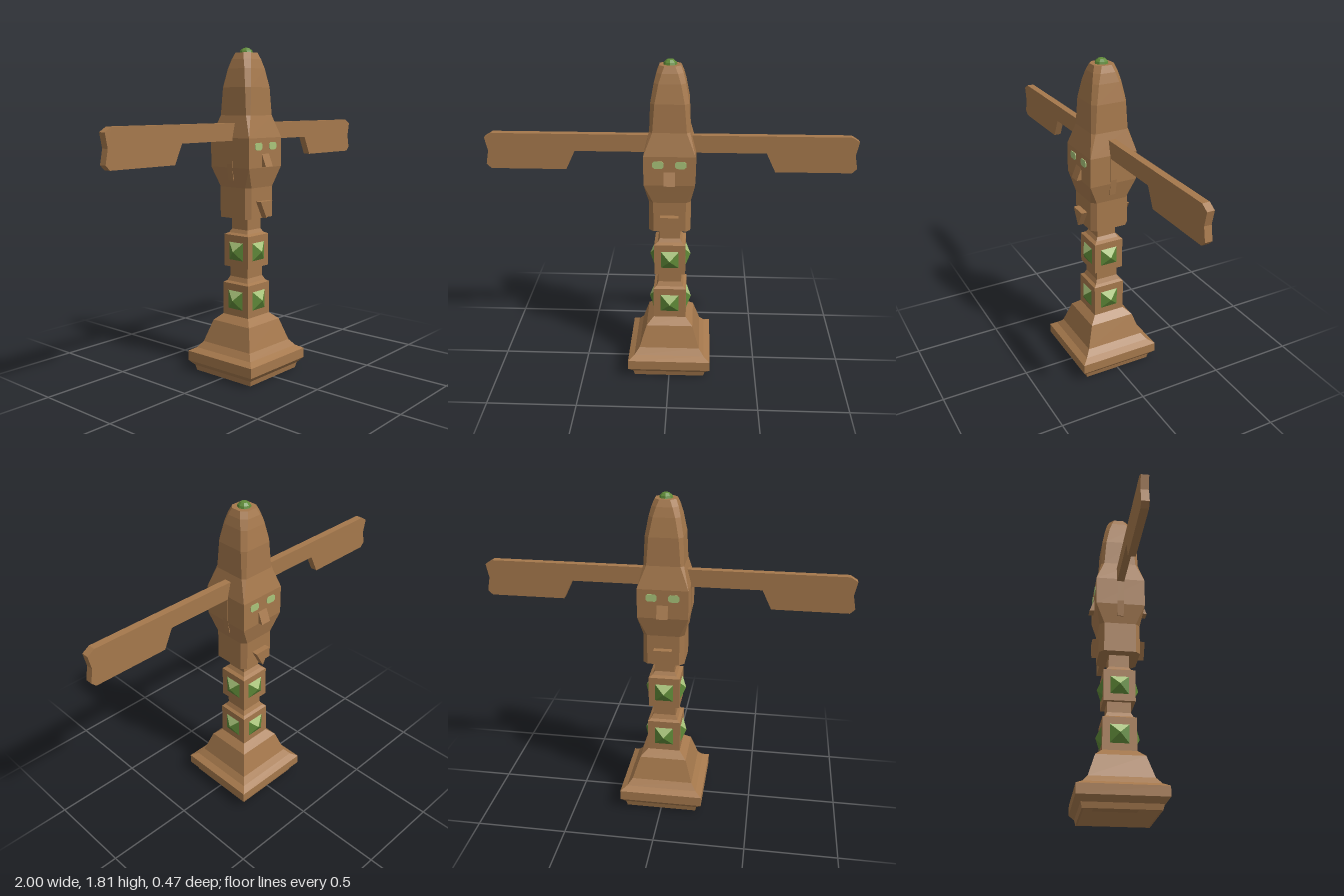
import * as THREE from 'three';

const wood = new THREE.MeshStandardMaterial({ color: 0xa5784c });
wood.name = 'carved wood';
const green = new THREE.MeshStandardMaterial({ color: 0x5f8a38 });
green.name = 'gem green';
const pale = new THREE.MeshStandardMaterial({ color: 0xa9c47a });
pale.name = 'pale green';

function mesh(name, geometry, material) {
  const m = new THREE.Mesh(geometry, material);
  m.name = name;
  return m;
}

function facets(points) {
  const g = new THREE.BufferGeometry();
  g.setAttribute('position', new THREE.Float32BufferAttribute(points.flat(), 3));
  g.computeVertexNormals();
  return g;
}

// Square loft with chamfered corners; each section is [y, half width, half width of the flat]
function loft(sections) {
  const rings = sections.map(([y, h, c = h]) => [
    [-c, y, h], [c, y, h], [h, y, c], [h, y, -c],
    [c, y, -h], [-c, y, -h], [-h, y, -c], [-h, y, c],
  ]);
  const points = [];
  const same = (p, q) => p.every((v, i) => v === q[i]);
  const tri = (a, b, c) => {
    if (!same(a, b) && !same(b, c) && !same(a, c)) points.push(a, b, c);
  };
  for (let i = 0; i + 1 < rings.length; i++) {
    for (let j = 0; j < 8; j++) {
      const k = (j + 1) % 8;
      const a = rings[i], b = rings[i + 1];
      tri(a[j], a[k], b[k]);
      tri(a[j], b[k], b[j]);
    }
  }
  return facets(points);
}

// Flat outline extruded evenly about its own plane
function slab(outline, depth) {
  const shape = new THREE.Shape(outline.map(([x, y]) => new THREE.Vector2(x, y)));
  const g = new THREE.ExtrudeGeometry(shape, { depth, bevelEnabled: false });
  return g.translate(0, 0, -depth / 2);
}

// Pyramid stud pointing to +z, with a paler upper facet
function gemGeometry(r, height) {
  const c = [[-r, r, 0], [-r, -r, 0], [r, -r, 0], [r, r, 0]];
  const tip = [0, 0, height];
  const points = [];
  for (const i of [3, 0, 1, 2]) points.push(c[i], c[(i + 1) % 4], tip);
  const g = facets(points);
  g.addGroup(0, 3, 0);
  g.addGroup(3, 9, 1);
  return g;
}

// One carved face, looking to +z
function createFace() {
  const face = new THREE.Group();
  face.name = 'face';

  const nose = slab([[-0.1, 1.335], [-0.165, 1.175], [-0.1, 1.175]], 0.06);
  face.add(mesh('nose', nose.rotateY(Math.PI / 2), wood));

  const mouth = slab([[-0.05, 0.985], [0, 0.892], [0.05, 0.985]], 0.05);
  face.add(mesh('mouth', mouth.translate(0, 0, 0.122), wood));

  for (const side of [-1, 1]) {
    const eye = slab([
      [-0.03, -0.01], [-0.02, -0.02], [0.02, -0.02], [0.03, -0.01],
      [0.03, 0.01], [0.02, 0.02], [-0.02, 0.02], [-0.03, 0.01],
    ], 0.006);
    face.add(mesh('eye', eye.translate(side * 0.06, 1.285, 0.138), pale));
  }
  return face;
}

export function createModel() {
  const model = new THREE.Group();
  model.name = 'totem';

  // Stepped base, hollow underneath
  model.add(mesh('base', loft([
    [0.06, 0], [0.06, 0.12], [0, 0.19], [0, 0.2], [0.03, 0.207], [0.06, 0.235],
    [0.115, 0.235], [0.135, 0.2], [0.17, 0.172], [0.295, 0.132], [0.332, 0.092],
  ]), wood));

  // Column of two blocks and two necks
  model.add(mesh('column', loft([
    [0.33, 0.092], [0.515, 0.092], [0.525, 0.076], [0.55, 0.064], [0.61, 0.064],
    [0.61, 0.087], [0.79, 0.087], [0.8, 0.068], [0.82, 0.056], [0.9, 0.056],
  ]), wood));

  // Head: chamfered jaw, square brow and tapering crown
  model.add(mesh('head', loft([
    [0.89, 0], [0.89, 0.113, 0.088], [1.06, 0.113, 0.088], [1.17, 0.137], [1.33, 0.137],
    [1.45, 0.107, 0.09], [1.6, 0.101, 0.078], [1.7, 0.083, 0.058],
    [1.75, 0.07, 0.042], [1.785, 0.056, 0.028], [1.785, 0],
  ]), wood));

  const dome = new THREE.SphereGeometry(0.038, 8, 3, 0, Math.PI * 2, 0, Math.PI / 2).toNonIndexed();
  dome.computeVertexNormals();
  const topGem = mesh('topGem', dome, green);
  topGem.position.y = 1.78;
  topGem.scale.y = 0.9;
  model.add(topGem);

  // Faces, wings and side fins repeat front to back and left to right
  for (const turn of [0, Math.PI]) {
    const face = createFace();
    face.rotation.y = turn;
    model.add(face);

    const wing = mesh('wing', slab([
      [0.09, 1.315], [0.515, 1.315], [0.565, 1.21], [0.975, 1.21], [1, 1.235],
      [0.985, 1.31], [1, 1.385], [0.96, 1.41], [0.09, 1.41],
    ], 0.04), wood);
    wing.rotation.y = turn;
    model.add(wing);

    const fin = mesh('sideFin', slab([
      [0.09, 1.1], [0.128, 1.1], [0.14, 1.19], [0.14, 1.33], [0.122, 1.41], [0.09, 1.41],
    ], 0.036), wood);
    fin.rotation.y = turn;
    model.add(fin);
  }

  // Gem studs on all four sides of both blocks
  for (const [y, r, out] of [[0.423, 0.052, 0.092], [0.7, 0.05, 0.087]]) {
    for (let i = 0; i < 4; i++) {
      const ring = new THREE.Group();
      ring.name = 'gemMount';
      ring.rotation.y = i * Math.PI / 2;
      const gem = mesh('gem', gemGeometry(r, 0.028), [pale, green]);
      gem.position.set(0, y, out);
      ring.add(gem);
      model.add(ring);
    }
  }
  return model;
}
